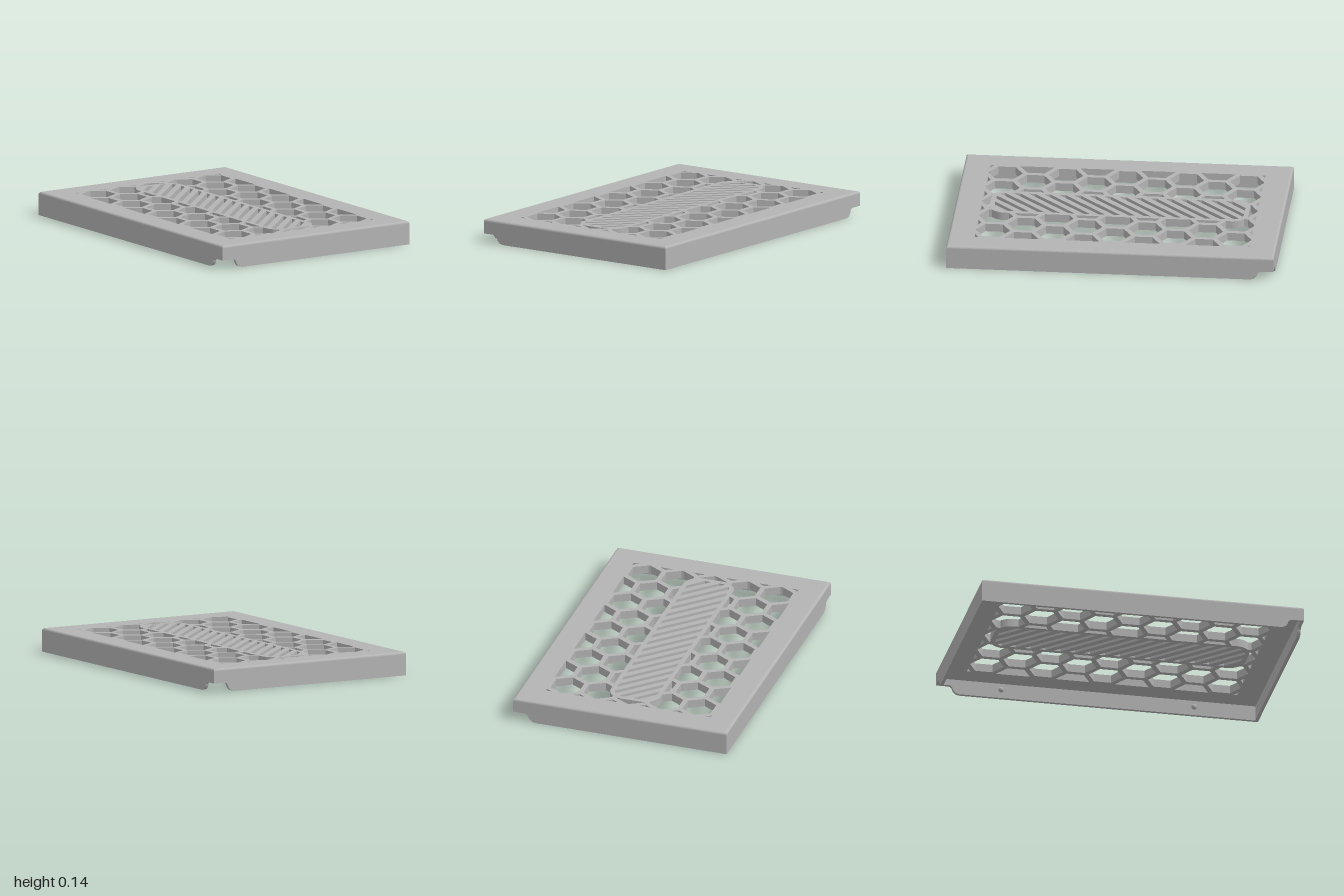
import * as THREE from 'three';
import { mergeGeometries } from 'three/addons/utils/BufferGeometryUtils.js';

const HX = 0.685, HZ = 1, TOP = 0.145, PLATE = 0.05, WALL = 0.02, ROUND = 0.015;
const OPEN_X = 0.53, OPEN_Z = 0.84;
const PANEL = { x: 0.16, z: 0.79, r: 0.1, band: 0.028 };

// Signed distance to a rounded rectangle (negative inside)
function distance(x, z, hx, hz, r) {
  const dx = Math.abs(x) - hx + r, dz = Math.abs(z) - hz + r;
  return Math.hypot(Math.max(dx, 0), Math.max(dz, 0)) + Math.min(Math.max(dx, dz), 0) - r;
}
const panelDistance = (x, z) => distance(x, z, PANEL.x, PANEL.z, PANEL.r);

function roundedRect(path, hx, hz, r) {
  path.moveTo(hx, -hz + r);
  path.absarc(hx - r, hz - r, r, 0, Math.PI / 2);
  path.absarc(-hx + r, hz - r, r, Math.PI / 2, Math.PI);
  path.absarc(-hx + r, -hz + r, r, Math.PI, Math.PI * 1.5);
  path.absarc(hx - r, -hz + r, r, Math.PI * 1.5, Math.PI * 2);
  return path;
}

function rectangle(path, hx, hz) {
  path.moveTo(-hx, -hz);
  path.lineTo(hx, -hz);
  path.lineTo(hx, hz);
  path.lineTo(-hx, hz);
  path.closePath();
  return path;
}

// Extrude a plan shape into a slab that ends at the top surface
function slab(shape) {
  const g = new THREE.ExtrudeGeometry(shape, { depth: PLATE, bevelEnabled: false, curveSegments: 10 });
  return g.rotateX(-Math.PI / 2).translate(0, TOP - PLATE, 0);
}

// Bar along the part of a line where keep(x, z) holds
function addBar(list, a, b, width, keep) {
  const n = 120;
  let first = -1, last = -1;
  for (let i = 0; i <= n; i++) {
    const t = i / n;
    if (keep(a[0] + (b[0] - a[0]) * t, a[1] + (b[1] - a[1]) * t)) {
      if (first < 0) first = t;
      last = t;
    }
  }
  if (first < 0 || last - first < 0.02) return;
  const dx = b[0] - a[0], dz = b[1] - a[1], mid = (first + last) / 2;
  const g = new THREE.BoxGeometry((last - first) * Math.hypot(dx, dz), PLATE, width);
  g.rotateY(-Math.atan2(dz, dx));
  list.push(g.translate(a[0] + dx * mid, TOP - PLATE / 2, a[1] + dz * mid));
}

// Honeycomb ribs around staggered pointed hexagons
function honeycomb() {
  const bars = [], px = 0.2115, pz = 0.1845, R = px / Math.sqrt(3), ext = 0.008;
  const keep = (x, z) => Math.abs(x) < OPEN_X + 0.012 && Math.abs(z) < OPEN_Z + 0.012 && panelDistance(x, z) > -0.014;
  for (let row = -5; row <= 5; row++) {
    for (let col = -4; col <= 4; col++) {
      const cx = (col + (row % 2 ? 0.5 : 0)) * px, cz = row * pz;
      for (let k = 0; k < 3; k++) {
        const corner = (i) => {
          const a = Math.PI / 6 + i * Math.PI / 3;
          return [cx + R * Math.cos(a), cz + R * Math.sin(a)];
        };
        const p = corner(k), q = corner(k + 1);
        const ux = (q[0] - p[0]) / R * ext, uz = (q[1] - p[1]) / R * ext;
        addBar(bars, [p[0] - ux, p[1] - uz], [q[0] + ux, q[1] + uz], 0.031, keep);
      }
    }
  }
  return mergeGeometries(bars);
}

// Diagonal bars filling the middle panel
function diagonals() {
  const bars = [], pitch = 0.0925;
  const keep = (x, z) => panelDistance(x, z) < -0.012;
  for (let i = -10; i <= 10; i++) {
    const c = i * pitch;
    addBar(bars, [-0.2, c + 0.2], [0.2, c - 0.2], 0.037, keep);
  }
  return mergeGeometries(bars);
}

// Skirt wall with a curved cable notch at one end
function wall(half, offset, side, angle) {
  const s = new THREE.Shape();
  const u = (d) => side * (half - d);
  s.moveTo(u(0), 0.055);
  s.lineTo(u(0.065), 0.055);
  s.bezierCurveTo(u(0.105), 0.055, u(0.095), 0.035, u(0.105), 0.022);
  s.bezierCurveTo(u(0.112), 0.01, u(0.12), 0.006, u(0.14), 0);
  s.lineTo(-side * half, 0);
  s.lineTo(-side * half, TOP - ROUND);
  s.lineTo(u(0), TOP - ROUND);
  s.closePath();
  const g = new THREE.ExtrudeGeometry(s, { depth: WALL, bevelEnabled: false, curveSegments: 8 });
  return g.translate(0, 0, offset - WALL).rotateY(angle);
}

// Rounded top edge, from mitred rectangular loops
function edgeRound() {
  const pos = [], idx = [], steps = 5;
  for (let i = 0; i <= steps; i++) {
    const a = i / steps * Math.PI / 2;
    const x = HX - ROUND * (1 - Math.cos(a)), z = HZ - ROUND * (1 - Math.cos(a));
    const y = TOP - ROUND * (1 - Math.sin(a));
    pos.push(-x, y, z, x, y, z, x, y, -z, -x, y, -z);
  }
  for (let i = 0; i < steps; i++) {
    for (let k = 0; k < 4; k++) {
      const a = i * 4 + k, b = i * 4 + (k + 1) % 4;
      idx.push(a, b, b + 4, a, b + 4, a + 4);
    }
  }
  const g = new THREE.BufferGeometry();
  g.setAttribute('position', new THREE.Float32BufferAttribute(pos, 3));
  g.setIndex(idx);
  const flat = g.toNonIndexed();
  flat.computeVertexNormals();
  return flat;
}

export function createModel() {
  const group = new THREE.Group();
  const grey = new THREE.MeshStandardMaterial({ color: 0xb3b3b3 });
  grey.name = 'grey plastic';
  const add = (name, geometry) => {
    const m = new THREE.Mesh(geometry, grey);
    m.name = name;
    group.add(m);
    return m;
  };

  // Top border
  const border = rectangle(new THREE.Shape(), HX - ROUND, HZ - ROUND);
  border.holes.push(rectangle(new THREE.Path(), OPEN_X, OPEN_Z));
  add('topBorder', slab(border));
  add('roundedEdge', edgeRound());

  // Grille
  add('honeycombGrille', honeycomb());
  const band = roundedRect(new THREE.Shape(), PANEL.x, PANEL.z, PANEL.r);
  band.holes.push(roundedRect(new THREE.Path(), PANEL.x - PANEL.band, PANEL.z - PANEL.band, PANEL.r - PANEL.band));
  add('panelBand', slab(band));
  add('panelDiagonals', diagonals());

  // Skirt
  add('frontWall', wall(HX, HZ, -1, 0));
  add('backWall', wall(HX, HZ, -1, Math.PI));
  add('leftWall', wall(HZ, HX, 1, Math.PI / 2));
  add('rightWall', wall(HZ, HX, 1, -Math.PI / 2));

  // Snap bumps inside the long walls
  for (const sx of [-1, 1]) {
    for (const sz of [-1, 1]) {
      add('snapBump', new THREE.SphereGeometry(0.017, 14, 10)).position.set(sx * (HX - WALL), 0.055, sz * 0.6);
    }
  }
  return group;
}
